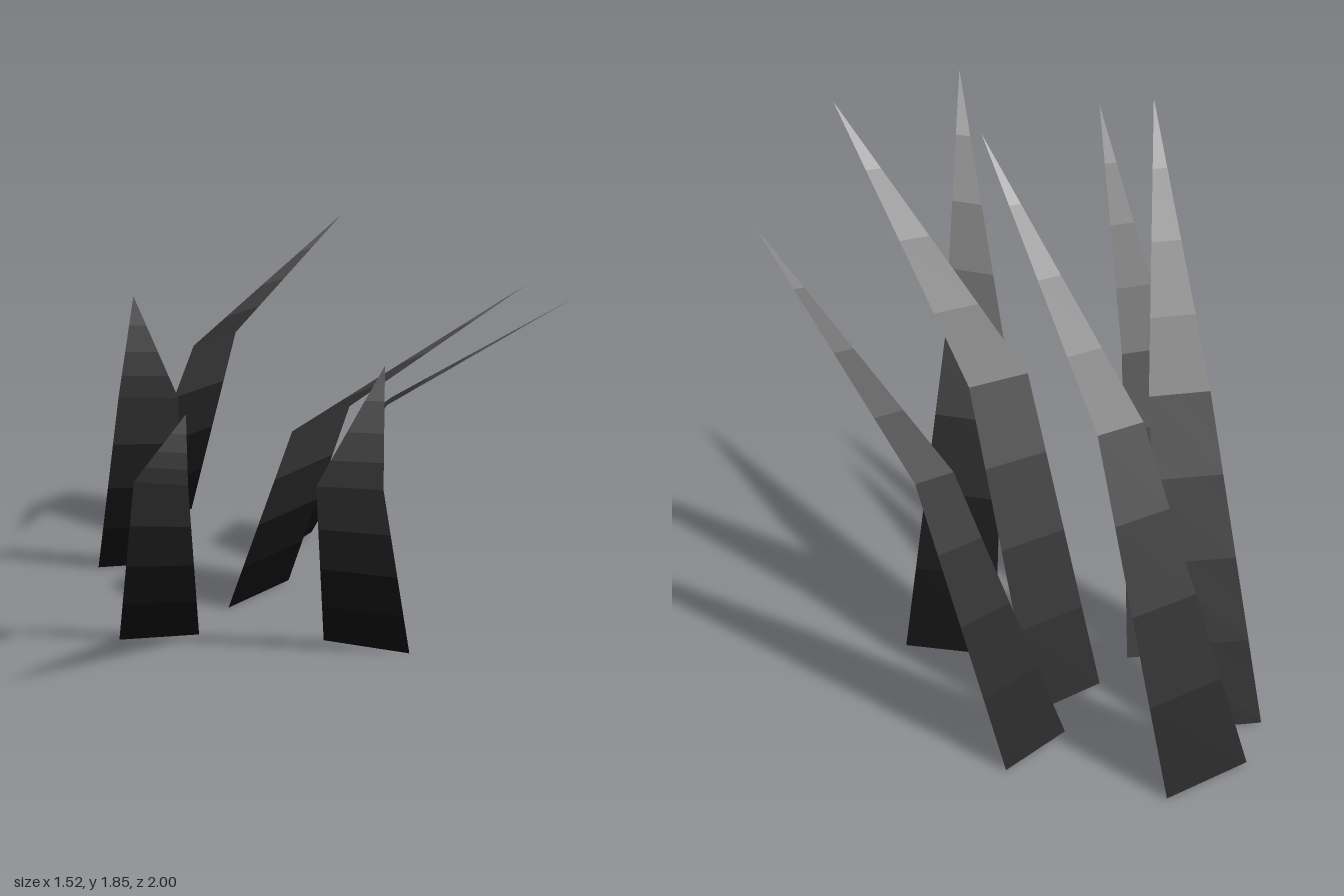
import * as THREE from 'three';

// Each blade: base left/right, bend left/right, tip
const BLADES = {
  backBlade: [[-0.07, 0, -1], [0.26, 0, -1], [0.03, 1.06, -0.56], [0.21, 1.06, -0.56], [0.13, 1.84, 0.18]],
  backRightBlade: [[-0.26, 0, -0.86], [0.03, 0, -0.71], [-0.35, 1.03, -0.44], [-0.17, 1.02, -0.34], [-0.66, 1.83, 0.27]],
  rightBlade: [[-0.415, 0, -0.42], [-0.15, 0, -0.28], [-0.545, 1, 0], [-0.395, 0.98, 0.09], [-0.765, 1.705, 0.72]],
  leftBlade: [[0.3, 0, -0.52], [0.58, 0, -0.585], [0.45, 0.83, -0.11], [0.62, 0.85, -0.15], [0.76, 1.54, 0.58]],
  middleBlade: [[0.03, 0, -0.355], [0.32, 0, -0.37], [0.035, 1.02, 0.06], [0.28, 1.03, 0.05], [0.3, 1.84, 0.85]],
  frontBlade: [[0.22, 0, 0.01], [0.44, 0, 0.25], [-0.07, 1, 0.35], [0.08, 1.02, 0.51], [-0.32, 1.845, 1]],
};
const BANDS = 4; // tone bands in each half of a blade

// Flat strip between two cross-edges
function strip(a, b, c, d, material) {
  const geometry = new THREE.BufferGeometry().setFromPoints([a, b, c, d]);
  geometry.setIndex([0, 1, 3, 0, 3, 2]);
  geometry.computeVertexNormals();
  return new THREE.Mesh(geometry, material);
}

// Dark at the root, grey toward the tip
function toneAt(height) {
  const t = height / 1.84;
  const material = new THREE.MeshStandardMaterial({ side: THREE.DoubleSide });
  material.color.setScalar(0.004 + 0.4 * t * t * t);
  return material;
}

function blade(name, corners) {
  const group = new THREE.Group();
  group.name = name;
  const [bl, br, ml, mr, tip] = corners.map((p) => new THREE.Vector3(...p));
  const halves = [['lowerBlade', bl, br, ml, mr], ['upperBlade', ml, mr, tip, tip]];
  for (const [part, l0, r0, l1, r1] of halves) {
    for (let i = 0; i < BANDS; i++) {
      const s = i / BANDS, e = (i + 1) / BANDS;
      const a = l0.clone().lerp(l1, s), b = r0.clone().lerp(r1, s);
      const c = l0.clone().lerp(l1, e), d = r0.clone().lerp(r1, e);
      const mesh = strip(a, b, c, d, toneAt((a.y + c.y) / 2));
      mesh.name = part;
      group.add(mesh);
    }
  }
  return group;
}

export function createModel() {
  const model = new THREE.Group();
  model.name = 'grassTuft';
  for (const [name, corners] of Object.entries(BLADES)) model.add(blade(name, corners));
  return model;
}
